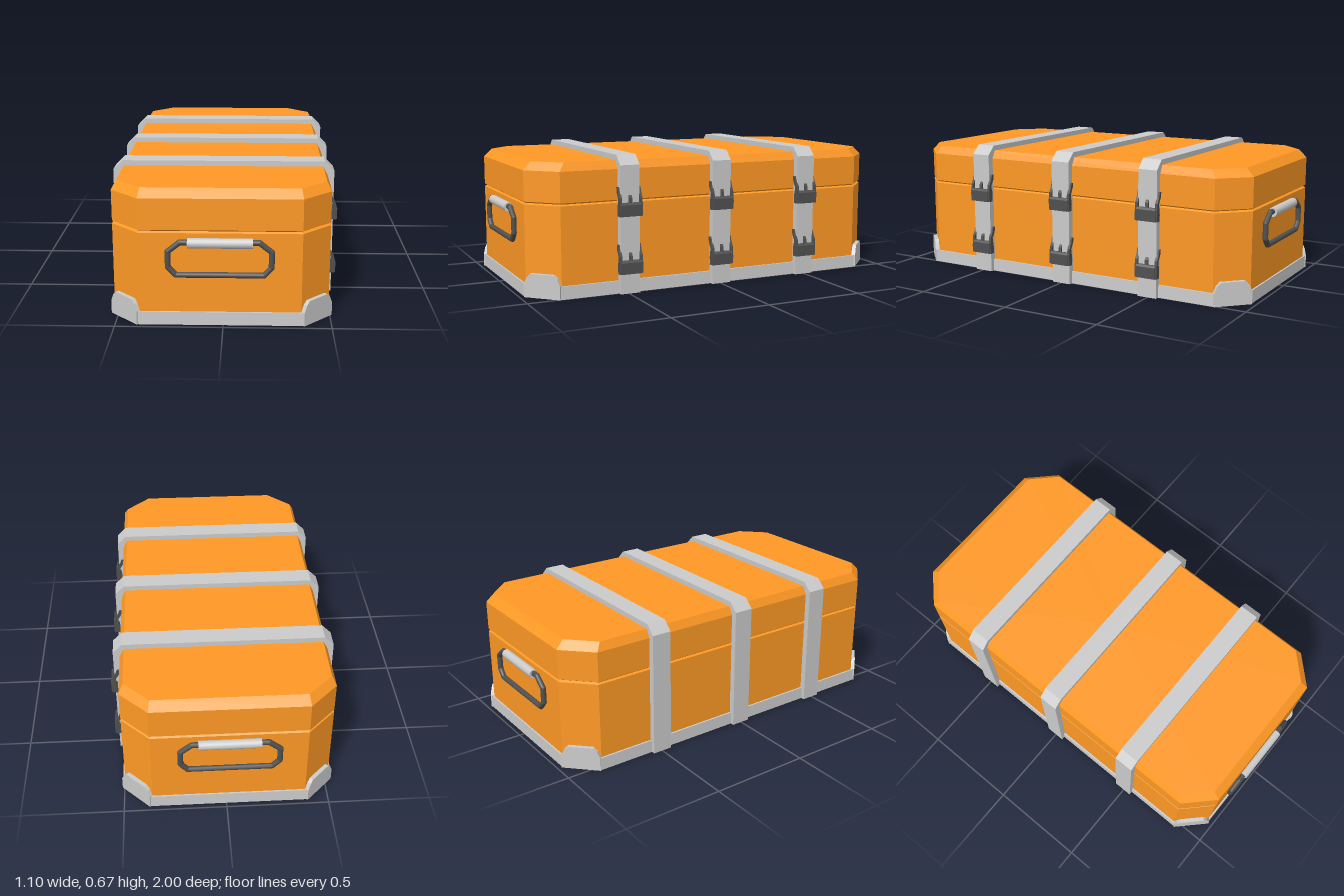
import * as THREE from 'three';

const CX = -0.0125; // the case body sits slightly left of the latches

const mat = (color) => new THREE.MeshStandardMaterial({ color, flatShading: true, roughness: 0.8 });

// Stacked octagonal rings [y, halfX, halfZ, chamfer], capped at both ends
function octagonLoft(rings) {
  const loops = rings.map(([y, x, z, c]) => [
    [x, -z + c], [x, z - c], [x - c, z], [-x + c, z],
    [-x, z - c], [-x, -z + c], [-x + c, -z], [x - c, -z],
  ].map(([px, pz]) => [px, y, pz]));
  const pos = [];
  const tri = (...pts) => pts.forEach((p) => pos.push(...p));
  const bottom = loops[0], top = loops[loops.length - 1];
  for (let i = 0; i < 8; i++) {
    const j = (i + 1) % 8;
    for (let k = 0; k < loops.length - 1; k++) {
      const lo = loops[k], hi = loops[k + 1];
      tri(lo[i], hi[i], hi[j]);
      tri(lo[i], hi[j], lo[j]);
    }
    tri([0, bottom[0][1], 0], bottom[i], bottom[j]);
    tri([0, top[0][1], 0], top[j], top[i]);
  }
  const g = new THREE.BufferGeometry();
  g.setAttribute('position', new THREE.Float32BufferAttribute(pos, 3));
  g.computeVertexNormals();
  return g;
}

// Outline extruded along z, centred on z = 0
function slab(points, depth) {
  const shape = new THREE.Shape(points.map(([x, y]) => new THREE.Vector2(x, y)));
  return new THREE.ExtrudeGeometry(shape, { depth, bevelEnabled: false }).translate(0, 0, -depth / 2);
}

export function createModel() {
  const model = new THREE.Group();
  const orange = mat(0xff9925), grey = mat(0xcccccc), dark = mat(0x505050);
  const smoothDark = dark.clone(), smoothGrey = grey.clone();
  smoothDark.flatShading = smoothGrey.flatShading = false;

  const add = (parent, name, geometry, material, x = 0, y = 0, z = 0) => {
    const mesh = new THREE.Mesh(geometry, material);
    mesh.name = name;
    mesh.position.set(x, y, z);
    parent.add(mesh);
    return mesh;
  };

  // Case: base rim, body and lid, with a narrow V groove at the seam
  add(model, 'baseRim', octagonLoft([
    [0, 0.5185, 0.975, 0.135], [0.063, 0.5165, 0.973, 0.135],
  ]), grey, CX);
  add(model, 'body', octagonLoft([
    [0.05, 0.5075, 0.965, 0.135], [0.443, 0.5075, 0.965, 0.135], [0.45, 0.498, 0.955, 0.133],
  ]), orange, CX);
  add(model, 'lid', octagonLoft([
    [0.45, 0.498, 0.955, 0.133], [0.457, 0.5075, 0.965, 0.135],
    [0.605, 0.5075, 0.965, 0.135], [0.645, 0.486, 0.925, 0.122],
  ]), orange, CX);

  // Guard plates on the four chamfered corners
  const plate = slab([
    [-0.096, 0], [0.096, 0], [0.096, 0.065], [0.08, 0.098], [0.062, 0.116],
    [-0.062, 0.116], [-0.08, 0.098], [-0.096, 0.065],
  ], 0.035).translate(0, 0, -0.012);
  for (const sx of [-1, 1]) for (const sz of [-1, 1]) {
    const guard = add(model, 'cornerGuard', plate, grey, CX + sx * 0.4505, 0, sz * 0.908);
    guard.rotation.y = Math.atan2(sx, sz);
  }

  // Bands around the case, each with two latches on the +x side
  const band = slab([
    [-0.55, 0], [0.528, 0], [0.528, 0.625], [0.482, 0.671], [-0.504, 0.671], [-0.55, 0.625],
  ], 0.1);
  const ear = slab([
    [0.51, 0.06], [0.54, 0.06], [0.536, 0.088], [0.519, 0.117], [0.514, 0.14],
    [0.501, 0.14], [0.506, 0.113], [0.522, 0.084],
  ], 0.016);
  const earOuter = slab([
    [0.515, 0.03], [0.545, 0.03], [0.538, 0.088], [0.522, 0.117], [0.514, 0.14],
    [0.501, 0.14], [0.506, 0.113], [0.524, 0.084],
  ], 0.014);
  for (const z of [-0.498, -0.003, 0.493]) {
    add(model, 'band', band, grey, 0, 0, z);
    for (const y of [0.1, 0.38]) {
      const latch = new THREE.Group();
      latch.name = 'latch';
      latch.position.set(0, y, z);
      add(latch, 'latchBody', slab([
        [0.515, 0], [0.548, 0], [0.548, 0.055], [0.54, 0.065], [0.515, 0.065],
      ], 0.104), dark);
      add(latch, 'latchCentreProng', ear, dark);
      for (const s of [-1, 1]) {
        add(latch, 'latchSideProng', earOuter, dark, 0, 0, s * 0.053);
        add(latch, 'latchCheek', new THREE.BoxGeometry(0.026, 0.055, 0.008), dark, 0.53, 0.0275, s * 0.056);
      }
      model.add(latch);
    }
  }

  // Bail handles on both ends: octagonal rod loop with a grip sleeve
  const loop = [
    [-0.215, 0.248], [0.187, 0.248], [0.22, 0.285], [0.22, 0.36],
    [0.165, 0.404], [-0.195, 0.404], [-0.25, 0.36], [-0.25, 0.285],
  ].map(([x, y]) => new THREE.Vector3(x, y, 0));
  for (const s of [-1, 1]) {
    const handle = new THREE.Group();
    handle.name = s > 0 ? 'frontHandle' : 'backHandle';
    handle.position.z = s * 0.977;
    loop.forEach((a, i) => {
      const dir = loop[(i + 1) % loop.length].clone().sub(a);
      const mid = a.clone().addScaledVector(dir, 0.5);
      const rod = add(handle, 'handleRod', new THREE.CylinderGeometry(0.0135, 0.0135, dir.length(), 12),
        smoothDark, mid.x, mid.y, 0);
      rod.quaternion.setFromUnitVectors(new THREE.Vector3(0, 1, 0), dir.normalize());
      add(handle, 'handleJoint', new THREE.SphereGeometry(0.0135, 12, 8), smoothDark, a.x, a.y, 0);
    });
    const grip = add(handle, 'handleGrip', new THREE.CylinderGeometry(0.0235, 0.0235, 0.296, 16),
      smoothGrey, -0.013, 0.4, 0);
    grip.rotation.z = Math.PI / 2;
    model.add(handle);
  }
  return model;
}
